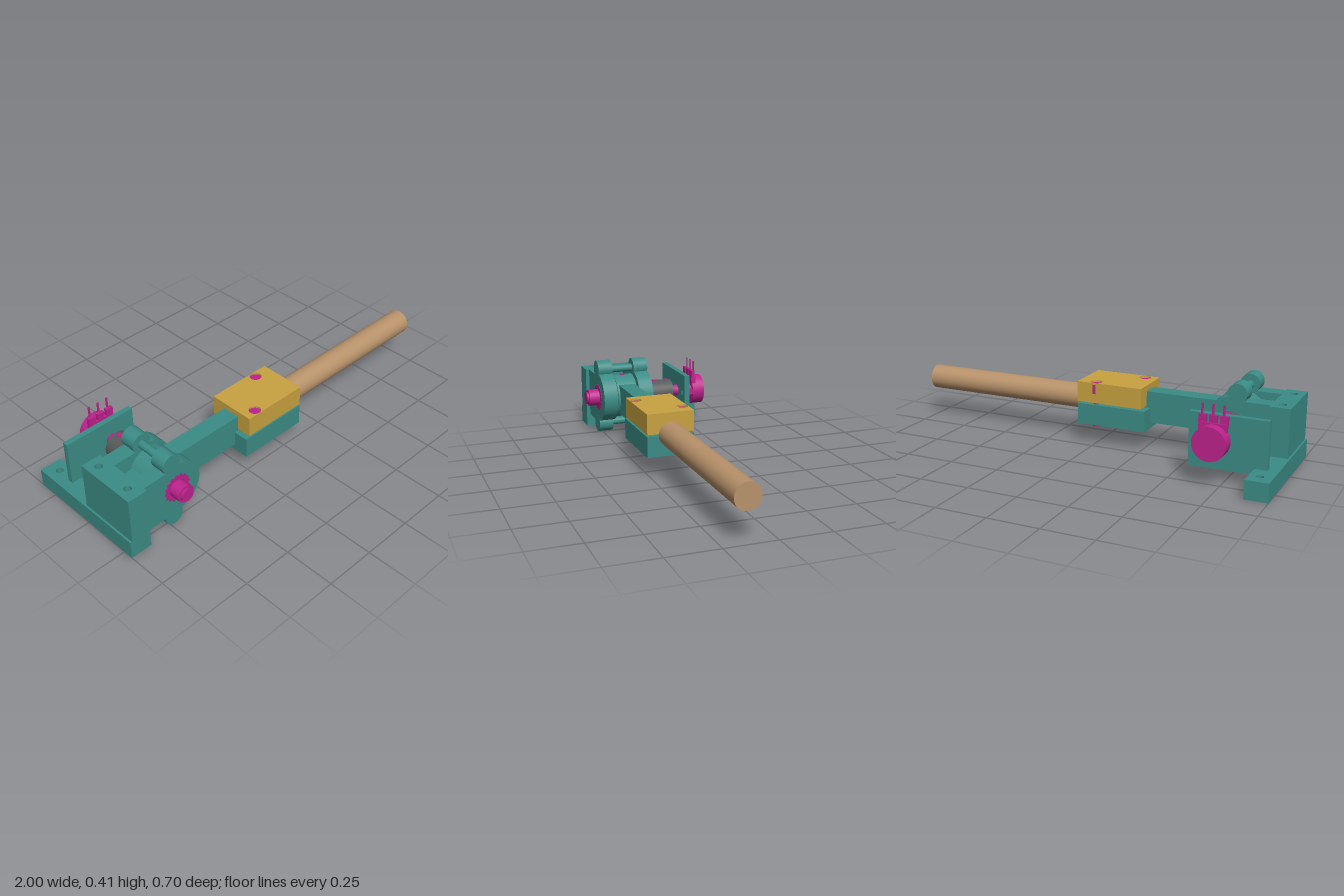
import * as THREE from 'three';

const mat = (name, color) => {
  const m = new THREE.MeshStandardMaterial({ color });
  m.name = name;
  return m;
};

export function createModel() {
  const teal = mat('teal', 0x3c8c86);
  const gold = mat('gold', 0xc9a341);
  const magenta = mat('magenta', 0xbe228c);
  const grey = mat('grey', 0x575a5a);
  const wood = mat('wood', 0xb8926a);
  const model = new THREE.Group();
  const AX = -0.71, AY = 0.21; // pivot axis

  const add = (name, geo, m) => {
    const mesh = new THREE.Mesh(geo, m);
    mesh.name = name;
    model.add(mesh);
    return mesh;
  };
  const box = (name, m, x0, x1, y0, y1, z0, z1) =>
    add(name, new THREE.BoxGeometry(x1 - x0, y1 - y0, z1 - z0), m)
      .position.set((x0 + x1) / 2, (y0 + y1) / 2, (z0 + z1) / 2);
  // cylinder along z
  const cylZ = (name, m, r, z0, z1, x = AX, y = AY, seg = 40) =>
    add(name, new THREE.CylinderGeometry(r, r, z1 - z0, seg).rotateX(Math.PI / 2), m)
      .position.set(x, y, (z0 + z1) / 2);
  // cylinder along y
  const cylY = (name, m, r, y0, y1, x, z, seg = 24) =>
    add(name, new THREE.CylinderGeometry(r, r, y1 - y0, seg), m).position.set(x, (y0 + y1) / 2, z);
  const rect = (x0, x1, y0, y1) => new THREE.Shape([
    new THREE.Vector2(x0, y0), new THREE.Vector2(x1, y0),
    new THREE.Vector2(x1, y1), new THREE.Vector2(x0, y1)]);
  const extrude = (shape, depth) =>
    new THREE.ExtrudeGeometry(shape, { depth, bevelEnabled: false, curveSegments: 24 });
  // block with vertical round holes, each hole is [x, z, radius]
  const drilled = (name, m, x0, x1, y0, y1, z0, z1, holes) => {
    const s = rect(x0, x1, -z1, -z0);
    for (const [x, z, r] of holes) s.holes.push(new THREE.Path().absarc(x, -z, r, 0, Math.PI * 2, true));
    add(name, extrude(s, y1 - y0).rotateX(-Math.PI / 2), m).position.y = y0;
  };

  // Mounting rail and upright block with through holes
  const rear = [-0.94, -0.285, 0.018], mid = [-0.94, 0.04, 0.018], front = [-0.94, 0.235, 0.018];
  drilled('mountingRail', teal, -1, -0.89, 0, 0.09, -0.35, 0.3, [rear, mid, front]);
  drilled('uprightBlock', teal, -0.99, -0.89, 0.09, 0.325, -0.015, 0.3, [mid, front]);

  // Clevis cheeks with round ends and stop bosses
  for (const [z0, z1] of [[0.005, 0.083], [0.205, 0.281]]) {
    const s = new THREE.Shape();
    s.moveTo(-0.9, 0.068);
    s.lineTo(AX - 0.06, 0.068);
    s.lineTo(AX, AY - 0.13);
    s.absarc(AX, AY, 0.13, -Math.PI / 2, Math.PI / 2, false);
    s.lineTo(AX - 0.06, 0.325);
    s.lineTo(-0.9, 0.325);
    add('clevisCheek', extrude(s, z1 - z0), teal).position.z = z0;
    for (const y of [0.358, 0.058]) cylZ('stopBoss', teal, 0.048, z0 - 0.0005, z1 + 0.0005, -0.735, y);
  }
  for (const y of [0.355, 0.059]) cylZ('stopRod', teal, 0.02, 0.08, 0.208, -0.735, y, 24);

  // Swinging arm with hub and rear tail
  cylZ('armHub', teal, 0.115, 0.09, 0.198);
  box('armTail', teal, -0.87, AX, 0.15, 0.27, 0.103, 0.186);
  box('armBeam', teal, AX, -0.22, 0.13, 0.287, 0.098, 0.187);
  cylY('hubSetScrew', magenta, 0.014, 0.3, 0.327, AX, 0.143);

  // Clamp halves, screws and rod
  const screws = [[-0.185, 0.232], [0, 0.053]];
  box('lowerClamp', teal, -0.27, 0.09, 0.1, 0.204, 0.025, 0.263);
  drilled('upperClamp', gold, -0.25, 0.09, 0.214, 0.316, 0.025, 0.263, screws.map(([x, z]) => [x, z, 0.029]));
  for (const [x, z] of screws) {
    cylY('clampScrewHead', magenta, 0.029, 0.26, 0.306, x, z);
    cylY('clampScrewShank', magenta, 0.014, 0.088, 0.27, x, z);
  }
  add('rod', new THREE.CylinderGeometry(0.0625, 0.0625, 1.2, 48).rotateZ(Math.PI / 2), wood)
    .position.set(0.4, 0.2075, 0.143);

  // Pivot shaft with toothed bearing faces
  cylZ('pivotShaft', magenta, 0.027, -0.245, 0.3);
  cylZ('shaftHead', magenta, 0.044, 0.275, 0.338);
  cylZ('shaftTip', magenta, 0.033, 0.338, 0.35);
  const teeth = new THREE.Shape();
  for (let i = 0; i < 64; i++) {
    const a = i / 64 * Math.PI * 2, r = i % 4 < 2 ? 0.072 : 0.065;
    teeth[i ? 'lineTo' : 'moveTo'](Math.cos(a) * r, Math.sin(a) * r);
  }
  add('toothedBearing', extrude(teeth, 0.015), magenta).position.set(AX, AY, 0.268);
  cylZ('rearFlange', magenta, 0.05, -0.004, 0.01);

  // Shaft coupling with set screws
  cylZ('coupling', grey, 0.068, -0.133, -0.003, AX, 0.207);
  for (const z of [-0.107, -0.04]) cylY('couplingScrew', magenta, 0.015, 0.25, 0.277, AX, z);

  // Sensor plate with square locating hole
  const plate = rect(-0.95, -0.58, 0.06, 0.316);
  plate.holes.push(new THREE.Path([[-0.632, 0.2], [-0.632, 0.225], [-0.618, 0.225], [-0.618, 0.2]]
    .map(([x, y]) => new THREE.Vector2(x, y))));
  add('sensorPlate', extrude(plate, 0.028), teal).position.z = -0.203;

  // Rotary sensor: collar, body, terminals
  cylZ('sensorNut', magenta, 0.031, -0.225, -0.155, AX, AY, 6);
  cylZ('sensorCollar', magenta, 0.056, -0.246, -0.22);
  cylZ('sensorBody', magenta, 0.08, -0.309, -0.243, AX, 0.208);
  box('locatingTab', magenta, -0.645, -0.632, 0.198, 0.226, -0.25, -0.2);
  box('terminalBlock', magenta, -0.775, -0.645, 0.24, 0.292, -0.262, -0.238);
  for (const dx of [-0.05, 0, 0.05]) {
    box('terminalFoot', magenta, AX + dx - 0.018, AX + dx + 0.018, 0.285, 0.326, -0.256, -0.238);
    box('terminalPin', magenta, AX + dx - 0.005, AX + dx + 0.005, 0.32, 0.378, -0.258, -0.254);
  }
  return model;
}
